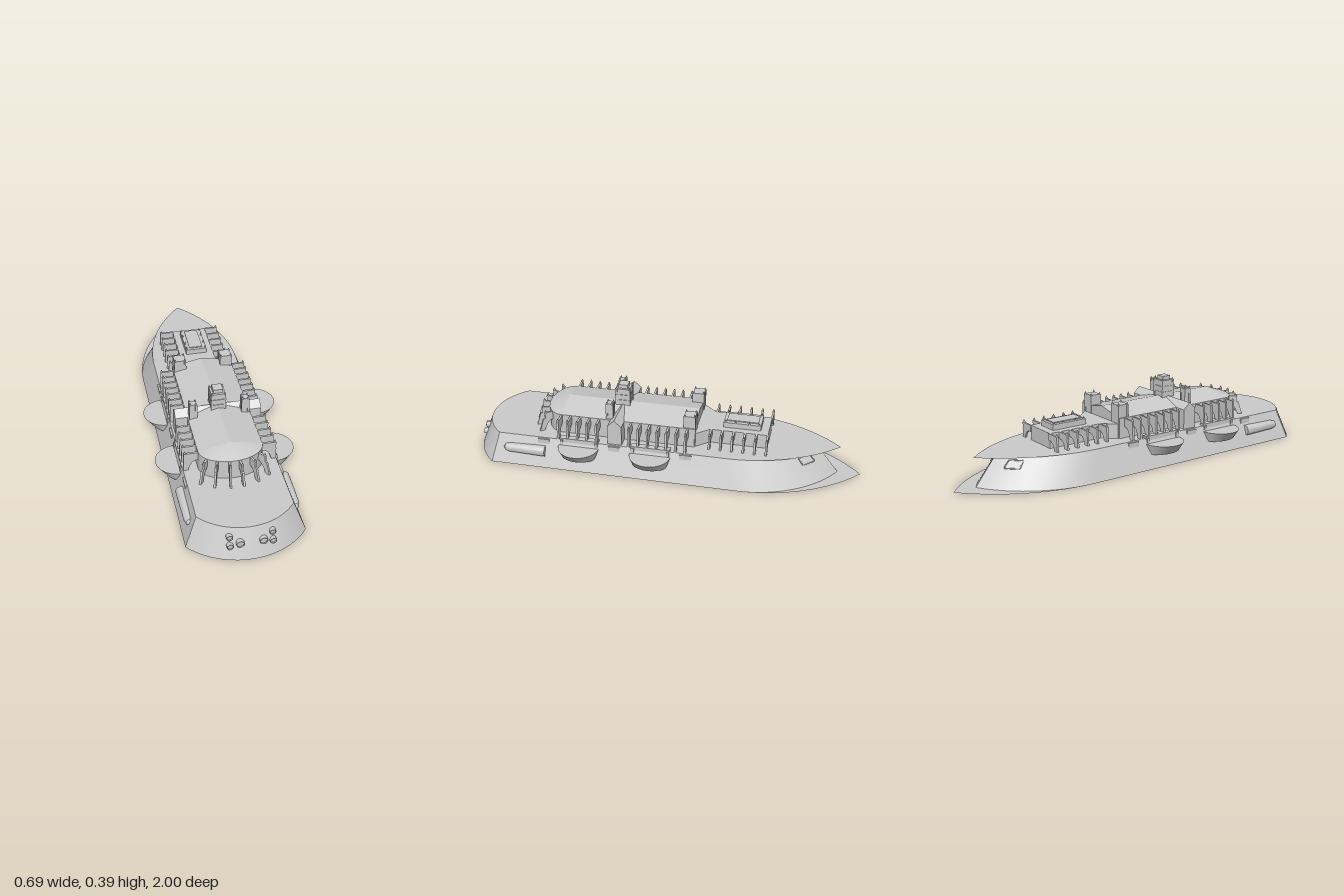
import * as THREE from 'three';
import { toCreasedNormals } from 'three/addons/utils/BufferGeometryUtils.js';

const mat = new THREE.MeshStandardMaterial({ color: 0xcccccc, side: THREE.DoubleSide });
const DECK = 0.147;

export function createModel() {
  const root = new THREE.Group();
  const add = (name, geo, x = 0, y = 0, z = 0, ry = 0, parent = root) => {
    const m = new THREE.Mesh(geo, mat);
    m.name = name;
    m.position.set(x, y, z);
    m.rotation.y = ry;
    parent.add(m);
    return m;
  };
  // box given by its limits
  const box = (name, x0, x1, y0, y1, z0, z1) =>
    add(name, new THREE.BoxGeometry(x1 - x0, y1 - y0, z1 - z0), (x0 + x1) / 2, (y0 + y1) / 2, (z0 + z1) / 2);
  const planShape = (pts) => new THREE.Shape(pts.map(([x, z]) => new THREE.Vector2(x, -z)));
  const flat = (pts) => new THREE.ShapeGeometry(planShape(pts)).rotateX(-Math.PI / 2);
  const prism = (pts, h) =>
    new THREE.ExtrudeGeometry(planShape(pts), { depth: h, bevelEnabled: false }).rotateX(-Math.PI / 2);
  // skin between two plan outlines with the same number of points
  const skin = (a, ya, b, yb, closed = true) => {
    const pos = [];
    const n = a.length;
    for (let i = 0; i < (closed ? n : n - 1); i++) {
      const j = (i + 1) % n;
      const p = [a[i][0], ya, a[i][1]], q = [a[j][0], ya, a[j][1]];
      const r = [b[j][0], yb, b[j][1]], s = [b[i][0], yb, b[i][1]];
      pos.push(...p, ...q, ...r, ...p, ...r, ...s);
    }
    const g = new THREE.BufferGeometry();
    g.setAttribute('position', new THREE.Float32BufferAttribute(pos, 3));
    return toCreasedNormals(g, 0.5);
  };

  // hull outline: rounded end at +z, pointed arch at -z, counterclockwise from above
  const hullOutline = (w, corner, front, bow, tip) => {
    const pts = [];
    const d = front - corner, R = (w * w + d * d) / (2 * d), a = Math.asin(w / R);
    for (let i = 0; i <= 20; i++) {
      const t = -a + (2 * a * i) / 20;
      pts.push([R * Math.sin(t), front - R + R * Math.cos(t)]);
    }
    const side = (t) => bowX(w, bow, tip, bow + (tip - bow) * t);
    for (let i = 0; i <= 16; i++) pts.push([side(i / 16), bow + ((tip - bow) * i) / 16]);
    for (let i = 15; i >= 0; i--) pts.push([-side(i / 16), bow + ((tip - bow) * i) / 16]);
    return pts;
  };
  const bowX = (w, bow, tip, z) => {
    const L = bow - tip, R = (L * L + w * w) / (2 * w);
    return w - R + Math.sqrt(R * R - (bow - z) ** 2);
  };
  add('keelPlate', flat(hullOutline(0.282, 0.87, 1, -0.4, -1)));
  add('deckPlate', flat(hullOutline(0.226, 0.835, 0.943, -0.345, -0.89)), 0, DECK);
  add('hullWall', skin(hullOutline(0.282, 0.87, 1, -0.4, -0.885), 0,
    hullOutline(0.226, 0.835, 0.943, -0.345, -0.77), DECK));

  // main hall with rounded front and pitched roof
  const apse = [];
  for (let i = 0; i <= 20; i++) {
    const t = -Math.PI / 2 + (Math.PI * i) / 20;
    apse.push([0.155 * Math.sin(t), 0.52 + 0.1 * Math.cos(t)]);
  }
  add('mainHall', toCreasedNormals(prism([[-0.155, -0.17], ...apse, [0.155, -0.17]], 0.25 - DECK), 0.5), 0, DECK);
  add('apseRoof', skin(apse, 0.25, apse.map(() => [0, 0.52]), 0.283, false));
  const gable = (halfW, len) => new THREE.ExtrudeGeometry(
    new THREE.Shape([[-halfW, 0], [halfW, 0], [0, 0.033]].map((p) => new THREE.Vector2(...p))),
    { depth: len, bevelEnabled: false });
  add('hallRoof', gable(0.155, 0.69), 0, 0.25, -0.17);
  box('transept', -0.215, 0.215, DECK, 0.25, 0.19, 0.262);
  add('transeptRoof', gable(0.036, 0.43), -0.215, 0.25, 0.226, Math.PI / 2);

  // rear hall
  add('rearHall', prism([[-0.155, -0.165], [0.155, -0.165], [0.09, -0.24], [0.09, -0.53],
    [-0.09, -0.53], [-0.09, -0.24]], 0.075), 0, DECK);
  box('rearRoofBlock', -0.055, 0.055, 0.222, 0.25, -0.49, -0.3);
  box('rearRoofRidge', -0.035, 0.035, 0.25, 0.255, -0.475, -0.315);

  // spires and towers
  const spire = (x, y, z, r = 0.007, h = 0.016, parent = root) =>
    add('pinnacle', new THREE.ConeGeometry(r, h, 4).rotateY(Math.PI / 4), x, y + h / 2, z, 0, parent);
  const tower = (name, x0, x1, z0, z1, top) => {
    box(name, x0, x1, DECK, top, z0, z1);
    for (const x of [x0 + 0.003, x1 - 0.003])
      for (const z of [z0 + 0.003, z1 - 0.003]) {
        box(name + 'CornerPost', x - 0.005, x + 0.005, DECK, top - 0.002, z - 0.005, z + 0.005);
        spire(x, top - 0.002, z, 0.007, 0.014);
      }
  };
  tower('centralTower', -0.035, 0.035, 0.19, 0.262, 0.366);
  box('centralTowerCap', -0.024, 0.024, 0.366, 0.386, 0.202, 0.25);
  for (const y of [0.3, 0.33]) box('towerBand', -0.038, 0.038, y, y + 0.005, 0.187, 0.265);
  for (const s of [-1, 1]) {
    const pair = (a, b) => (s > 0 ? [a, b] : [-b, -a]);
    tower('frontTower', ...pair(0.112, 0.147), 0.25, 0.284, 0.338);
    tower('rearTower', ...pair(0.092, 0.15), -0.172, -0.115, 0.316);
    for (const z of [-0.48, -0.43, -0.36, -0.31]) spire(s * 0.05, 0.25, z, 0.006, 0.014);
  }

  // buttress: thin fin with an arched opening and a pinnacle
  const buttress = (x, z, ry, h, base, top) => {
    const g = new THREE.Group();
    g.name = 'buttress';
    const s = new THREE.Shape();
    s.moveTo(-0.005, h);
    s.lineTo(-0.005, h * 0.55);
    s.quadraticCurveTo(top * 0.5, h * 0.65, base - 0.024, 0);
    s.lineTo(base, 0);
    s.lineTo(top + (base - top) * 0.35, h * 0.65);
    s.lineTo(top, h * 0.68);
    s.lineTo(top, h);
    const geo = new THREE.ExtrudeGeometry(s, { depth: 0.01, bevelEnabled: false, curveSegments: 6 });
    add('fin', geo.translate(0, 0, -0.005), 0, 0, 0, 0, g);
    spire(top - 0.006, h, 0, 0.008, 0.015, g);
    g.position.set(x, DECK, z);
    g.rotation.y = ry;
    root.add(g);
  };
  for (const s of [-1, 1]) {
    const ry = s > 0 ? 0 : Math.PI;
    for (let i = 0; i < 5; i++) buttress(s * 0.155, 0.32 + i * 0.05, ry, 0.1, 0.071, 0.068);
    for (let i = 0; i < 7; i++) buttress(s * 0.155, -0.135 + i * 0.048, ry, 0.1, 0.071, 0.068);
    for (let i = 0; i < 6; i++) buttress(s * 0.09, -0.53 + i * 0.057, ry, 0.075, 0.073, 0.07);
    // radiating buttresses of the rounded front
    for (const [x, a] of [[0.025, 0.1], [0.08, 0.38], [0.125, 0.65]])
      buttress(s * x, 0.52 + 0.1 * Math.sqrt(1 - (x / 0.155) ** 2), -Math.PI / 2 + s * a, 0.1, 0.07, 0.04);
  }

  // side fittings
  const halfDisc = (rx, rz, s) => Array.from({ length: 17 }, (_, i) => {
    const t = (Math.PI * i) / 16;
    return [s * rx * Math.sin(t), rz * Math.cos(t)];
  });
  for (const s of [-1, 1]) {
    for (const z of [0.04, 0.41]) {
      const top = [[s * -0.025, 0.105], ...halfDisc(0.108, 0.105, s), [s * -0.025, -0.105]];
      const low = [[s * -0.025, 0.09], ...halfDisc(0.065, 0.09, s), [s * -0.025, -0.09]];
      add('balconySkirt', skin(low, 0.068, top, 0.12), s * 0.235, 0, z);
      add('balconyFloor', flat(top), s * 0.235, 0.12, z);
      add('balconyBase', flat(low), s * 0.235, 0.068, z);
      add('balconyLintel', new THREE.BoxGeometry(0.03, 0.022, 0.2), s * 0.216, 0.146, z);
      for (const d of [-0.09, 0.09])
        add('balconyPost', new THREE.BoxGeometry(0.025, 0.03, 0.015), s * 0.225, 0.134, z + d);
    }
    for (const z of [0.595, 0.226, -0.14])
      add('sideBracket', new THREE.BoxGeometry(0.03, 0.027, 0.06), s * 0.222, 0.129, z);

    // tapering side pod lying along the hull
    const pod = [[0, 0], [0.028, 0], [0.028, 0.03], [0.024, 0.19], [0.018, 0.212], [0, 0.225]]
      .map((p) => new THREE.Vector2(...p));
    add('sidePod', toCreasedNormals(new THREE.LatheGeometry(pod, 20).rotateX(Math.PI / 2), 0.6), s * 0.248, 0.08, 0.585);

    // slanted hatch near the bow
    const hatch = [[-0.69, 0.125], [-0.74, 0.125], [-0.77, 0.09], [-0.715, 0.09]].map(([z, y]) => {
      const k = y / DECK, lerp = (a, b) => a + (b - a) * k;
      const x = bowX(lerp(0.282, 0.226), lerp(-0.4, -0.345), lerp(-0.885, -0.77), z);
      return new THREE.Vector3(s * (x + 0.004), y, z);
    });
    const panel = new THREE.BufferGeometry().setFromPoints([0, 1, 2, 0, 2, 3].map((i) => hatch[i]));
    panel.computeVertexNormals();
    add('bowHatch', panel);
    const frame = new THREE.CurvePath();
    hatch.forEach((p, i) => frame.add(new THREE.LineCurve3(p, hatch[(i + 1) % 4])));
    add('bowHatchFrame', new THREE.TubeGeometry(frame, 40, 0.003, 4, true));

    // round ports on the front wall
    for (const [x, y, r] of [[0.098, 0.105, 0.015], [0.098, 0.065, 0.016], [0.053, 0.079, 0.019]]) {
      const z = 1 - 0.057 * (y / DECK) - (x * x) / 0.68;
      const ring = [[r - 0.003, -0.03], [r, -0.03], [r, 0.012], [r - 0.003, 0.012], [r - 0.003, 0.006], [0, 0.006]]
        .map((p) => new THREE.Vector2(...p));
      add('frontPort', toCreasedNormals(new THREE.LatheGeometry(ring, 24).rotateX(Math.PI / 2), 0.6), s * x, y, z);
    }
  }
  return root;
}
